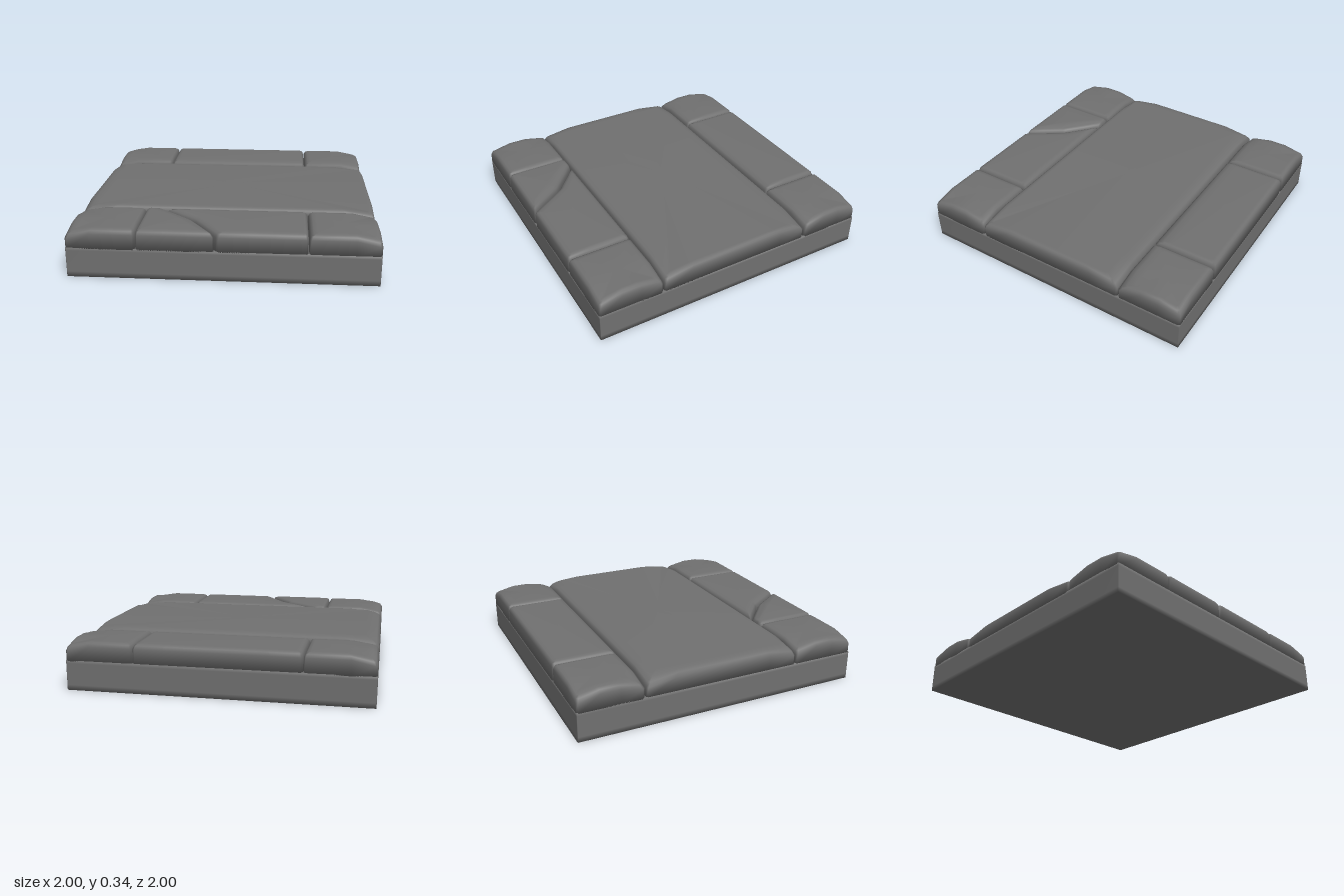
import * as THREE from 'three';

const material = new THREE.MeshStandardMaterial({ color: 0x707070 });

// Inset an outline (x, z corners, counter-clockwise from above), each edge by its own distance
function insetOutline(pts, dist) {
  const n = pts.length;
  const lines = pts.map((p, i) => {
    const q = pts[(i + 1) % n];
    const len = Math.hypot(q[0] - p[0], q[1] - p[1]);
    const nx = (q[1] - p[1]) / len, nz = (p[0] - q[0]) / len;
    return [nx, nz, nx * p[0] + nz * p[1] + dist[i]];
  });
  return lines.map((b, i) => {
    const a = lines[(i + n - 1) % n];
    const det = a[0] * b[1] - a[1] * b[0];
    return [(a[2] * b[1] - a[1] * b[2]) / det, (a[0] * b[2] - a[2] * b[0]) / det];
  });
}

// Clip each corner and add support points so the smooth shading stays near the edges
function softenCorners(pts, clip) {
  const n = pts.length, out = [];
  const along = (p, q, d, share) => {
    const t = Math.min(d / Math.hypot(q[0] - p[0], q[1] - p[1]), share);
    return [p[0] + (q[0] - p[0]) * t, p[1] + (q[1] - p[1]) * t];
  };
  pts.forEach((p, i) => {
    const prev = pts[(i + n - 1) % n], next = pts[(i + 1) % n];
    out.push(along(p, prev, 0.2, 0.35), along(p, prev, clip, 0.15),
      along(p, next, clip, 0.15), along(p, next, 0.2, 0.35));
  });
  return out;
}

// Loft an outline through rings of [inset factor, y], closed by fans at both ends
function block(name, outline, bevels, rings, clip, apex) {
  const pos = [], index = [];
  let n = 0;
  for (const [k, y] of rings) {
    const ring = softenCorners(insetOutline(outline, bevels.map((b) => b * k)), clip);
    n = ring.length;
    ring.forEach(([x, z]) => pos.push(x, y, z));
  }
  for (let r = 0; r < rings.length - 1; r++) {
    for (let i = 0; i < n; i++) {
      const a = r * n + i, b = r * n + (i + 1) % n;
      index.push(a, b, b + n, a, b + n, a + n);
    }
  }
  const last = rings.length - 1, top = rings.length * n, bottom = top + 1;
  pos.push(...apex, apex[0], rings[0][1], apex[2]);
  for (let i = 0; i < n; i++) {
    const j = (i + 1) % n;
    index.push(last * n + i, last * n + j, top, j, i, bottom);
  }
  const geo = new THREE.BufferGeometry();
  geo.setAttribute('position', new THREE.Float32BufferAttribute(pos, 3));
  geo.setIndex(index);
  const mesh = new THREE.Mesh(geo, material);
  mesh.name = name;
  return mesh;
}

// Corners run front-right, front-left, back-left, back-right; edges front, left, back, right
const rect = (x0, x1, z0, z1) => [[x0, z1], [x1, z1], [x1, z0], [x0, z0]];

// Paving stone with worn upper edges; corners on the slab's two sides are chipped lower
function stone(name, outline, bevels, apex) {
  const centre = [0, 1].map((a) => outline.reduce((s, p) => s + p[a], 0) / outline.length);
  const rings = [[0, 0.195], [0, 0.295], [0.2, 0.317], [0.5, 0.326], [1, 0.33]];
  const mesh = block(name, outline, bevels, rings, 0.012, apex ?? [centre[0], 0.33, centre[1]]);
  const chips = outline.filter(([x]) => Math.abs(x) === 1);
  const p = mesh.geometry.attributes.position;
  for (let i = 0; i < p.count; i++) {
    for (const [x, z] of chips) {
      const near = Math.max(0, 1 - Math.hypot(p.getX(i) - x, p.getZ(i) - z) / 0.15);
      if (p.getY(i) > 0.25) p.setY(i, p.getY(i) - 0.035 * near);
    }
  }
  mesh.geometry.computeVertexNormals();
  return mesh;
}

export function createModel() {
  const group = new THREE.Group();
  group.name = 'pavedFloorTile';

  // Foundation slab
  const base = block('baseSlab', rect(-1, 1, -1, 1), [0.2, 0.2, 0.2, 0.2],
    [[1, 0], [0, 0], [0, 0.035], [0, 0.18], [0, 0.2], [0.2, 0.2], [1, 0.2]], 0.003, [0, 0.2, 0]);
  base.geometry.computeVertexNormals();
  group.add(base);

  // Large central stone
  group.add(stone('centreStone', rect(-1, 1, -0.546, 0.546), [0.05, 0.04, 0.1, 0.1]));

  // Four corner stones, worn most along their inner edges
  for (const [zName, z0, z1, front, back] of [
    ['front', 0.554, 1, 0.05, 0.05], ['back', -1, -0.556, 0.1, 0.04]]) {
    group.add(stone(zName + 'RightCornerStone', rect(-1, -0.553, z0, z1), [front, 0.04, back, 0.07]));
    group.add(stone(zName + 'LeftCornerStone', rect(0.549, 1, z0, z1), [front, 0.04, back, 0.05]));
  }

  // Whole stone along the back
  group.add(stone('backMiddleStone', rect(-0.547, 0.543, -1, -0.556), [0.1, 0.04, 0.04, 0.05]));

  // Front stone broken in two along a bent crack, the smaller piece slightly domed
  group.add(stone('crackedStoneRightPiece',
    [[-0.547, 1], [-0.045, 1], [-0.215, 0.752], [-0.44, 0.554], [-0.547, 0.554]],
    [0.04, 0.05, 0.05, 0.03, 0.03], [-0.3, 0.344, 0.79]));
  group.add(stone('crackedStoneLeftPiece',
    [[-0.03, 1], [0.543, 1], [0.543, 0.554], [-0.422, 0.554], [-0.2, 0.745]],
    [0.05, 0.04, 0.05, 0.07, 0.07]));

  return group;
}
